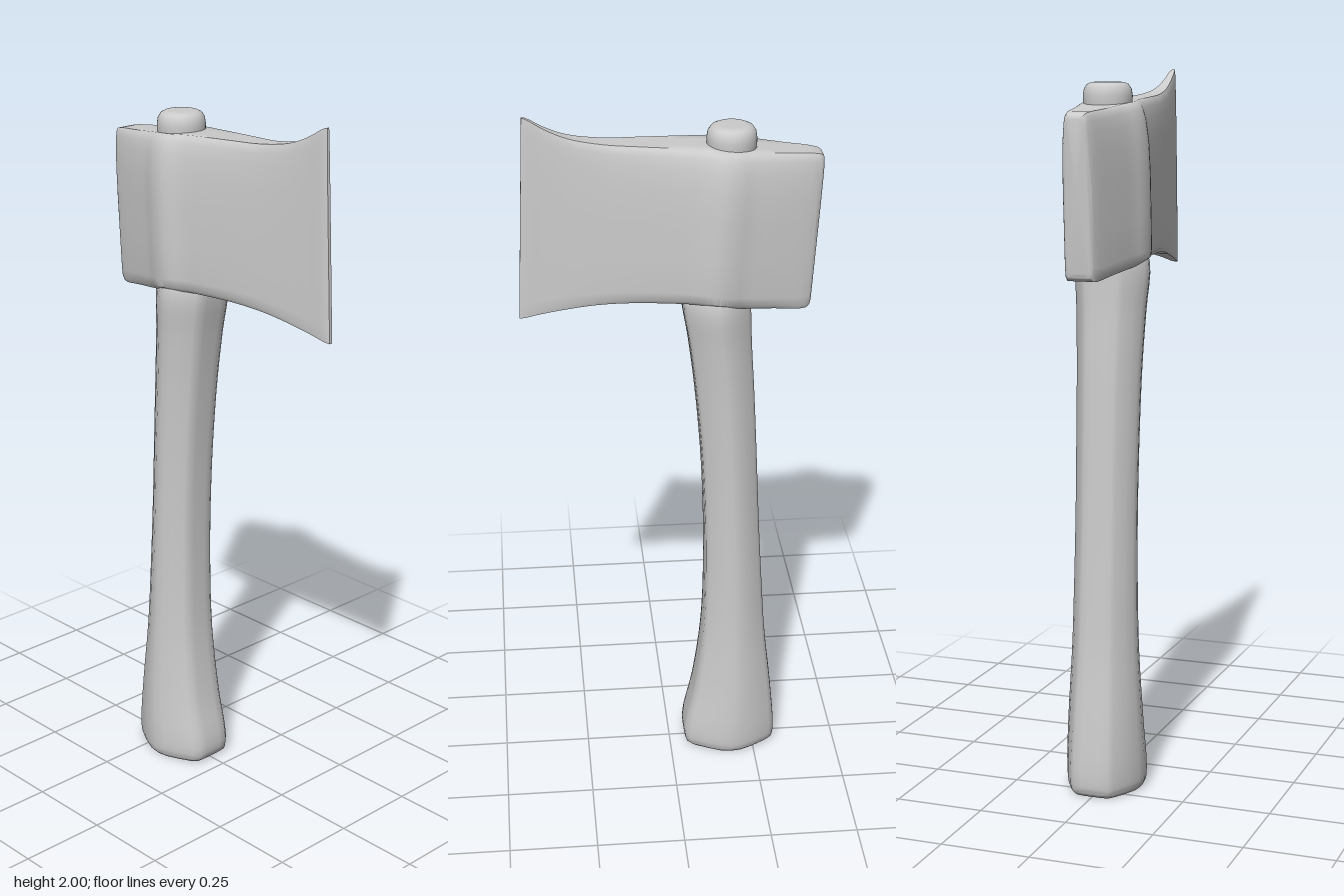
import * as THREE from 'three';
import { toCreasedNormals } from 'three/addons/utils/BufferGeometryUtils.js';

const grey = new THREE.MeshStandardMaterial({ color: 0xcccccc });

function part(name, geometry) {
  const mesh = new THREE.Mesh(geometry, grey);
  mesh.name = name;
  return mesh;
}

// Smooth skin through rings of equal point count, with flat caps at both ends
function loft(rings, steps) {
  const n = rings[0].length, m = (rings.length - 1) * steps;
  const columns = rings[0].map((_, j) => new THREE.CatmullRomCurve3(rings.map(r => r[j])));
  const pos = [], idx = [];
  for (let i = 0; i <= m; i++) {
    for (const c of columns) pos.push(...c.getPoint(i / m).toArray());
  }
  for (let i = 0; i < m; i++) {
    for (let j = 0; j < n; j++) {
      const k = (j + 1) % n, a = i * n + j, b = i * n + k;
      idx.push(a, b, b + n, a, b + n, a + n);
    }
  }
  for (const end of [0, 1]) {
    const ring = rings[end ? rings.length - 1 : 0], base = end ? m * n : 0;
    const mid = ring.reduce((s, p) => s.add(p), new THREE.Vector3()).divideScalar(n);
    const c = pos.length / 3;
    pos.push(...mid.toArray());
    for (let j = 0; j < n; j++) {
      const k = (j + 1) % n;
      idx.push(c, base + (end ? j : k), base + (end ? k : j));
    }
  }
  const g = new THREE.BufferGeometry();
  g.setAttribute('position', new THREE.Float32BufferAttribute(pos, 3));
  g.setIndex(idx);
  return toCreasedNormals(g, 0.7);
}

// Handle: soft hexagonal section [along x, along z], flat front and back
function makeHandle() {
  const half = [[1, 0.25], [0.98, 0.47], [0.88, 0.6], [0.55, 0.8], [0.25, 0.95], [0, 1],
    [-0.25, 0.96], [-0.55, 0.8], [-0.88, 0.57], [-0.98, 0.45], [-1, 0.25]];
  const section = [...half.map(([u, w]) => [u, -w]), ...half.slice().reverse()];
  // y, left x, right x, half depth
  const rows = [
    [0, -0.3, -0.06, 0.1], [0.012, -0.312, -0.048, 0.109], [0.05, -0.317, -0.043, 0.113],
    [0.2, -0.305, -0.073, 0.107], [0.4, -0.283, -0.097, 0.096], [0.6, -0.269, -0.103, 0.091],
    [0.8, -0.257, -0.1, 0.089], [1, -0.247, -0.09, 0.09], [1.2, -0.236, -0.072, 0.093],
    [1.35, -0.226, -0.053, 0.099], [1.48, -0.22, -0.033, 0.104], [1.54, -0.215, -0.04, 0.08],
  ];
  const rings = rows.map(([y, l, r, d]) => section.map(([u, w]) =>
    new THREE.Vector3((l + r) / 2 + u * (r - l) / 2, y, w * d)));
  return part('handle', loft(rings, 4));
}

// Head: tall section [height fraction, thickness], swept from poll to cutting edge
function makeHead() {
  const half = [[1, 0.3], [1, 0.64], [0.985, 0.74], [0.95, 0.82], [0.88, 0.9], [0.75, 0.97],
    [0.55, 1], [0.3, 1], [0.08, 1], [0.025, 0.97], [0, 0.86], [0, 0.4]];
  const section = [...half, ...half.slice().reverse().map(([v, w]) => [v, -w])];
  // x at the bottom, bottom y, top y, half thickness
  const rows = [
    [-0.385, 1.475, 1.865, 0.03], [-0.382, 1.46, 1.88, 0.036], [-0.37, 1.45, 1.887, 0.043],
    [-0.28, 1.461, 1.897, 0.069], [-0.2, 1.472, 1.906, 0.09], [-0.155, 1.48, 1.911, 0.105],
    [-0.115, 1.486, 1.914, 0.108], [-0.06, 1.489, 1.918, 0.09], [0, 1.49, 1.921, 0.079],
    [0.1, 1.489, 1.925, 0.062], [0.2, 1.48, 1.93, 0.044], [0.29, 1.463, 1.945, 0.028],
    [0.35, 1.449, 1.969, 0.018], [0.398, 1.436, 1.997, 0.01], [0.409, 1.434, 2, 0.005],
  ];
  const rings = rows.map(([x, b, t, d]) => section.map(([v, w]) =>
    new THREE.Vector3(x - 0.025 * v, b + (t - b) * v, w * d)));
  return part('axeHead', loft(rings, 4));
}

// Rounded end of the handle standing out of the eye
function makePeg() {
  const outline = [[0.058, 1.86], [0.066, 1.9], [0.067, 1.93], [0.064, 1.948], [0.056, 1.96],
    [0.045, 1.965], [0.034, 1.966], [0, 1.966]].map(([r, y]) => new THREE.Vector2(r, y));
  const peg = part('handleEnd', new THREE.LatheGeometry(outline, 40));
  peg.position.x = -0.165;
  return peg;
}

export function createModel() {
  const group = new THREE.Group();
  group.name = 'hatchet';
  group.add(makeHandle(), makeHead(), makePeg());
  return group;
}
